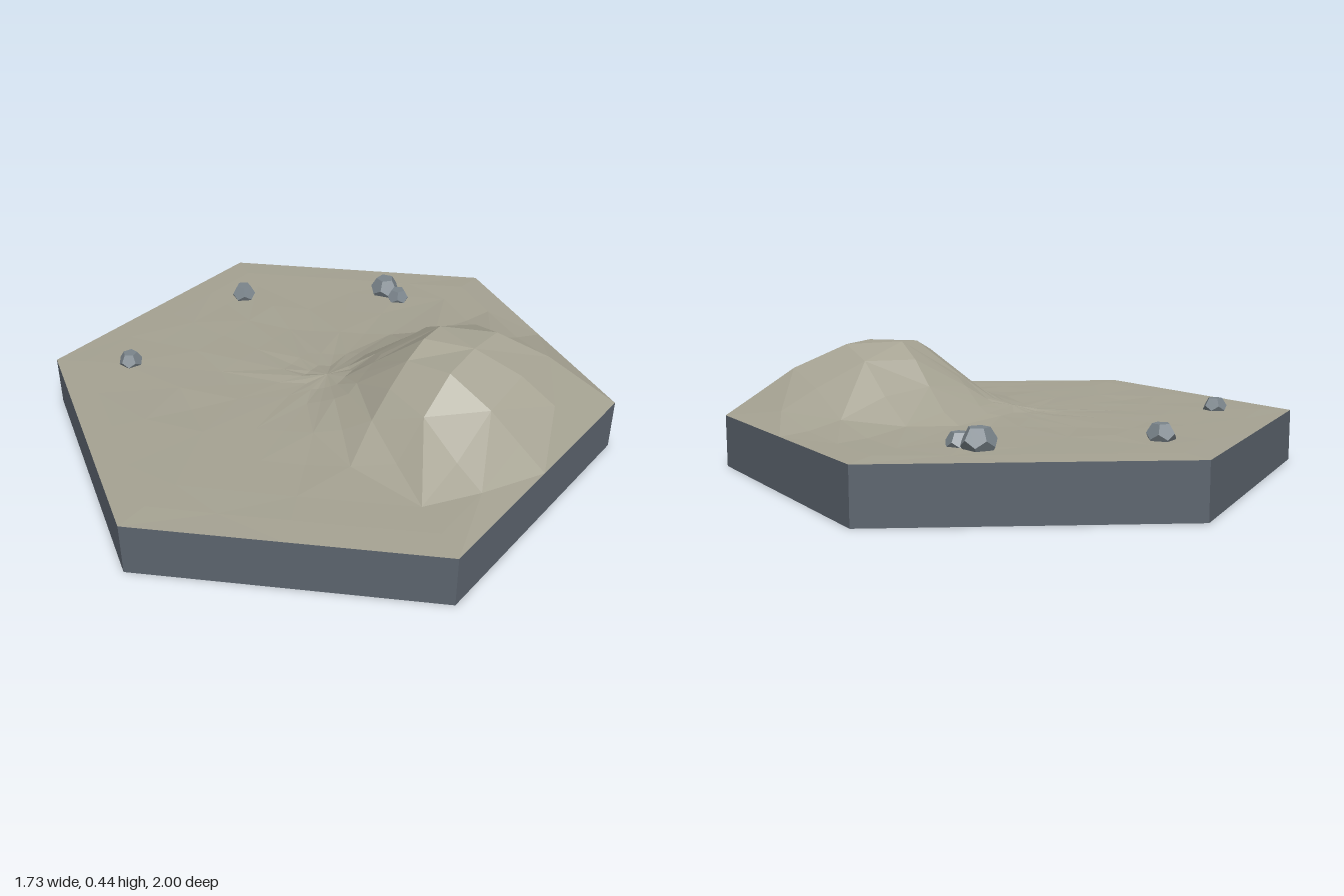
import * as THREE from 'three';

const BASE_H = 0.18;
const EDGE_SEGS = 4;
const RINGS = [0.09, 0.19, 0.385, 0.577, 0.76, 0.89, 1];

const material = (color, extra = {}) => new THREE.MeshStandardMaterial({ color, flatShading: true, ...extra });

function seeded(seed) {
  let s = seed;
  return () => (s = (s * 16807) % 2147483647) / 2147483647;
}

// Points around the unit hexagon, with corners at 30, 90, 150... degrees
function hexOutline() {
  const pts = [];
  const corner = (k) => {
    const a = Math.PI / 6 + (k * Math.PI) / 3;
    return new THREE.Vector2(Math.cos(a), Math.sin(a));
  };
  for (let k = 0; k < 6; k++) {
    for (let i = 0; i < EDGE_SEGS; i++) pts.push(corner(k).lerp(corner(k + 1), i / EDGE_SEGS));
  }
  return pts;
}

// Flat-topped hill leaning towards one corner, fading to nothing at the rim
function hillHeight(x, z, s) {
  const du = 0.77 * x + 0.64 * z - 0.54;
  const dv = -0.64 * x + 0.77 * z;
  const d2 = (du / (du > 0 ? 0.6 : 0.38)) ** 2 + (dv / (dv > 0 ? 0.38 : 0.35)) ** 2;
  return 0.28 * Math.exp(-(d2 ** 1.6)) * (1 - s ** 3.8);
}

function terrainGeometry() {
  const rand = seeded(71);
  const outline = hexOutline();
  const n = outline.length;
  const pos = [0, BASE_H + hillHeight(0, 0, 0) + 0.015, 0];
  const index = [];
  RINGS.forEach((s, r) => {
    outline.forEach((p) => {
      const x = p.x * s, z = p.y * s;
      const bump = s < 1 ? 0.002 + 0.007 * rand() * (1.3 - s) : 0;
      pos.push(x, BASE_H + hillHeight(x, z, s) + bump, z);
    });
    for (let i = 0; i < n; i++) {
      const j = (i + 1) % n;
      const c = 1 + r * n + i, d = 1 + r * n + j;
      if (r === 0) { index.push(0, d, c); continue; }
      const a = c - n, b = d - n;
      if ((i + r) % 2) index.push(a, b, d, a, d, c);
      else index.push(a, b, c, b, d, c);
    }
  });
  const geo = new THREE.BufferGeometry();
  geo.setAttribute('position', new THREE.Float32BufferAttribute(pos, 3));
  geo.setIndex(index);
  geo.computeVertexNormals();
  return geo;
}

export function createModel() {
  const model = new THREE.Group();
  model.name = 'hexHillTile';
  const add = (name, geo, mat, parent = model) => {
    const mesh = new THREE.Mesh(geo, mat);
    mesh.name = name;
    parent.add(mesh);
    return mesh;
  };

  // Hexagonal slab
  const slab = new THREE.Group();
  slab.name = 'slab';
  model.add(slab);
  const slabMat = material(0x5c646e);
  add('slabSides', new THREE.CylinderGeometry(1, 1, BASE_H, 6, 1, true).translate(0, BASE_H / 2, 0), slabMat, slab);
  add('slabBottom', new THREE.CircleGeometry(1, 6).rotateZ(Math.PI / 6).rotateX(Math.PI / 2), slabMat, slab);

  // Ground surface with the hill
  add('terrain', terrainGeometry(), material(0xa5a292));

  // Half-buried boulders: x, z, radius, top height, turn
  const boulderMat = material(0x7a848b);
  const boulders = [
    [-0.62, -0.37, 0.042, 0.228, 0.2],
    [-0.08, -0.70, 0.047, 0.234, 1.0],
    [0.46, -0.52, 0.056, 0.248, 0.5],
    [0.485, -0.45, 0.043, 0.226, 0.8],
  ];
  for (const [x, z, radius, top, turn] of boulders) {
    // tip the solid so one face lies level on top
    const geo = new THREE.DodecahedronGeometry(radius).rotateX(-0.5536).rotateY(turn);
    add('boulder', geo, boulderMat).position.set(x, top - radius * 0.795, z);
  }
  return model;
}
